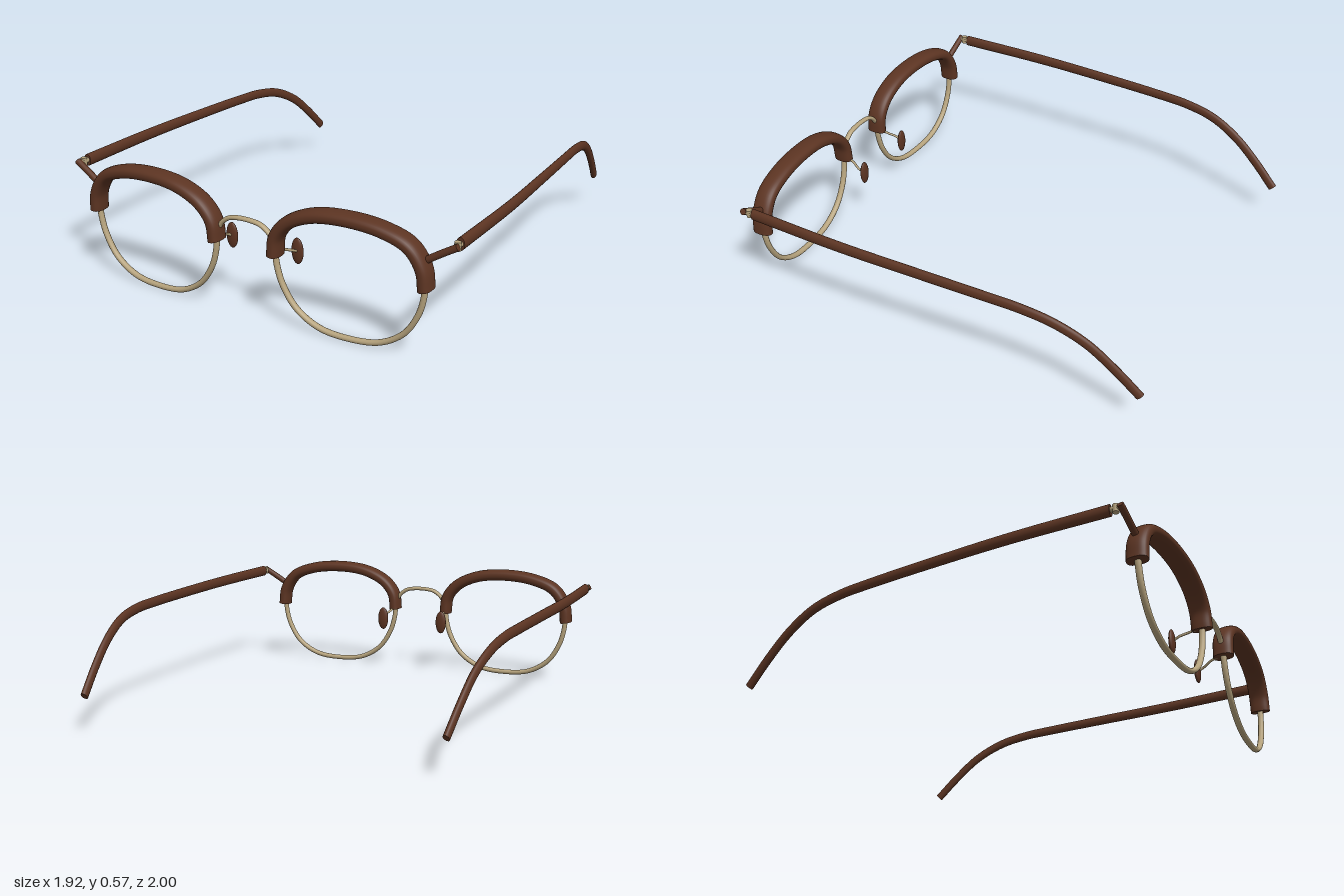
import * as THREE from 'three';

const V = (x, y, z) => new THREE.Vector3(x, y, z);

// Sweeps an oval section along a smooth curve: a is the half size across ref, b the half size along ref.
function sweep(points, ref, a, b, { steps = 48, sides = 20, power = 2, taper = 1 } = {}) {
  const curve = new THREE.CatmullRomCurve3(points);
  const pos = [], index = [];
  const round = v => Math.sign(v) * Math.abs(v) ** (2 / power);
  const ring = t => {
    const c = curve.getPointAt(t), T = curve.getTangentAt(t);
    const N = ref.clone().cross(T).normalize(), B = T.clone().cross(N);
    const s = 1 + (taper - 1) * t;
    for (let j = 0; j < sides; j++) {
      const q = j / sides * Math.PI * 2;
      const p = c.clone().addScaledVector(N, a * s * round(Math.cos(q))).addScaledVector(B, b * s * round(Math.sin(q)));
      pos.push(p.x, p.y, p.z);
    }
  };
  for (let i = 0; i <= steps; i++) ring(i / steps);
  for (let i = 0; i < steps; i++) for (let j = 0; j < sides; j++) {
    const k = (j + 1) % sides, r = i * sides, n = r + sides;
    index.push(r + j, r + k, n + j, r + k, n + k, n + j);
  }
  // Flat end caps with their own vertices
  for (const t of [0, 1]) {
    const o = pos.length / 3;
    ring(t);
    for (let j = 1; j < sides - 1; j++) index.push(o, ...(t ? [o + j, o + j + 1] : [o + j + 1, o + j]));
  }
  const g = new THREE.BufferGeometry();
  g.setAttribute('position', new THREE.Float32BufferAttribute(pos, 3));
  g.setIndex(index);
  g.computeVertexNormals();
  return g;
}

export function createModel() {
  const brown = new THREE.MeshStandardMaterial({ color: 0x5c3422 });
  brown.name = 'brown acetate';
  const gold = new THREE.MeshStandardMaterial({ color: 0xb5a27c });
  gold.name = 'pale gold metal';

  const model = new THREE.Group();
  model.name = 'eyeglasses';
  const add = (parent, name, geometry, material) => {
    const m = new THREE.Mesh(geometry, material);
    m.name = name;
    parent.add(m);
    return m;
  };
  const X = V(1, 0, 0), Y = V(0, 1, 0), Z = V(0, 0, 1);

  for (const [side, s] of [['left', 1], ['right', -1]]) {
    const half = new THREE.Group();
    half.name = side + 'Half';
    model.add(half);
    // The front bows gently back towards the outer ends
    const front = list => list.map(([x, y]) => V(s * x, y, 0.953 - 0.045 * x * x));
    const path = list => list.map(([x, y, z]) => V(s * x, y, z));

    // Thick upper brow
    add(half, 'brow', sweep(front([[0.827, 0.32], [0.815, 0.405], [0.76, 0.487], [0.65, 0.532], [0.49, 0.549],
      [0.33, 0.532], [0.215, 0.479], [0.16, 0.41], [0.148, 0.325]]), Z, 0.029, 0.048, { steps: 72, sides: 28, power: 2.4 }), brown);

    // Thin wire under the lens
    add(half, 'lowerRim', sweep(front([[0.824, 0.36], [0.819, 0.29], [0.797, 0.205], [0.735, 0.105], [0.63, 0.04],
      [0.49, 0.022], [0.35, 0.038], [0.245, 0.1], [0.18, 0.195], [0.153, 0.285], [0.147, 0.36]]), Z, 0.0125, 0.0145, { steps: 72, sides: 16 }), gold);

    // Nose pad on its bent wire
    add(half, 'padArm', sweep(path([[0.15, 0.335, 0.94], [0.155, 0.322, 0.89], [0.17, 0.305, 0.85], [0.168, 0.29, 0.82]]),
      Y, 0.006, 0.006, { steps: 20, sides: 10 }), gold);
    const pad = add(half, 'nosePad', new THREE.SphereGeometry(1, 24, 16), brown);
    pad.scale.set(0.029, 0.06, 0.014);
    pad.position.set(s * 0.168, 0.29, 0.817);

    // Arm from the brow out to the hinge
    add(half, 'endPiece', sweep(path([[0.815, 0.436, 0.92], [0.875, 0.474, 0.914], [0.948, 0.517, 0.907]]),
      Z, 0.015, 0.015, { steps: 10, sides: 16 }), brown);

    // Hinge
    add(half, 'hingeBar', sweep(path([[0.935, 0.51, 0.91], [0.935, 0.51, 0.845]]), X, 0.012, 0.013, { steps: 4, sides: 12 }), gold);
    const pin = add(half, 'hingePin', new THREE.CylinderGeometry(0.014, 0.014, 0.036, 16), gold);
    pin.position.set(s * 0.935, 0.51, 0.882);

    // Temple curving down behind the ear
    add(half, 'temple', sweep(path([[0.935, 0.509, 0.86], [0.942, 0.504, 0.4], [0.93, 0.498, 0], [0.917, 0.491, -0.3],
      [0.907, 0.483, -0.46], [0.893, 0.454, -0.61], [0.872, 0.385, -0.75], [0.855, 0.285, -0.87], [0.838, 0.173, -0.981]]),
      X, 0.028, 0.0185, { steps: 64, sides: 20, taper: 0.78 }), brown);
  }

  // Wire bridge between the brows
  add(model, 'bridge', sweep([[-0.14, 0.375], [-0.118, 0.41], [-0.08, 0.437], [-0.035, 0.446], [0.035, 0.446],
    [0.08, 0.437], [0.118, 0.41], [0.14, 0.375]].map(([x, y]) => V(x, y, 0.95)), Z, 0.01, 0.013, { sides: 16 }), gold);

  return model;
}
